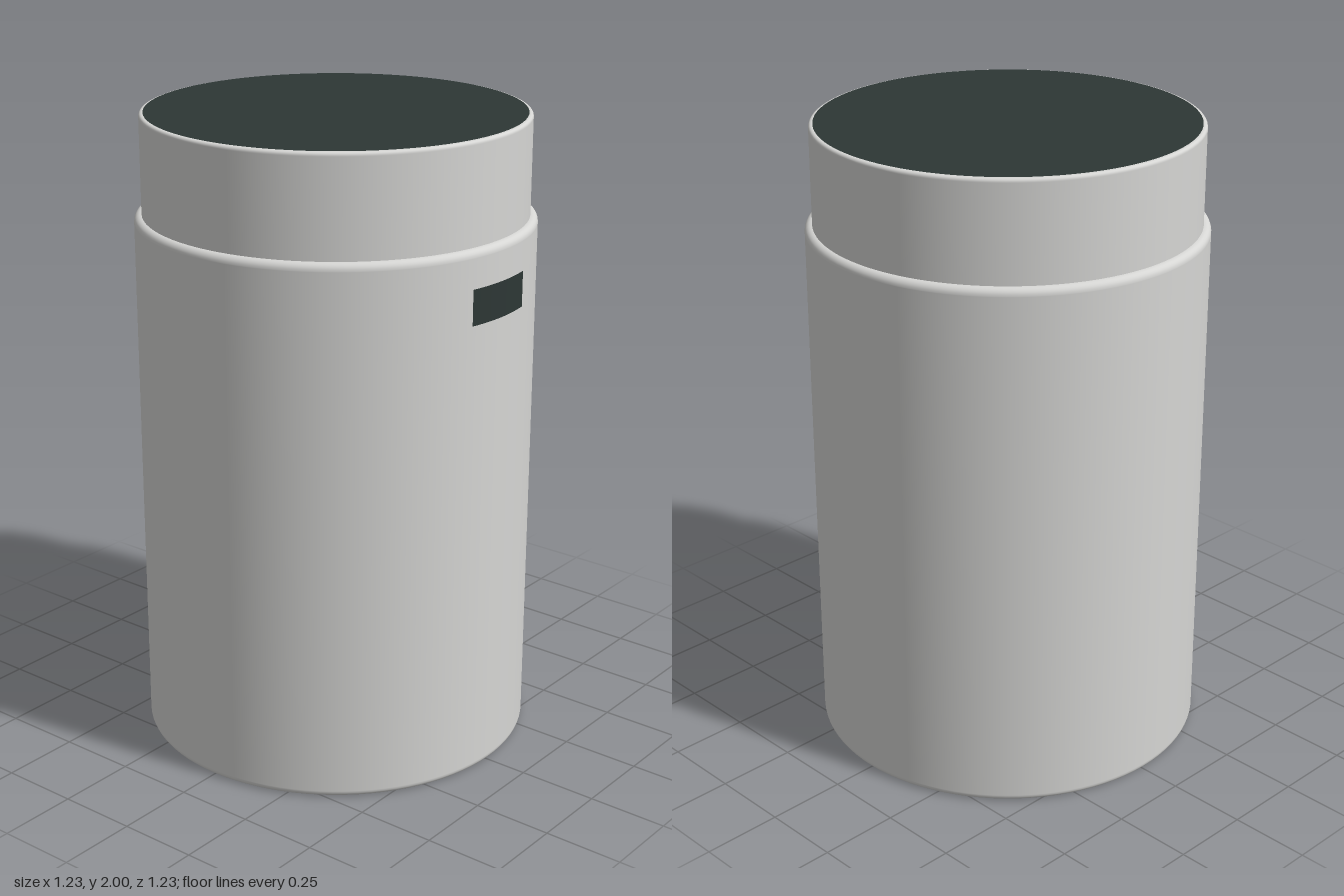
import * as THREE from 'three';

const SEGMENTS = 96;

// Solid of revolution with rounded rims; tight points keep flat faces flat-shaded
function roundedDrum(radius, y0, y1, bottomRound, topRound, material, name) {
  const e = 0.002;
  const pts = [new THREE.Vector2(0, y0), new THREE.Vector2(radius - bottomRound - e, y0)];
  const arc = (cy, r, from) => {
    for (let i = 0; i <= 6; i++) {
      const a = from + (i / 6) * Math.PI / 2;
      pts.push(new THREE.Vector2(radius - r + r * Math.cos(a), cy + r * Math.sin(a)));
    }
  };
  arc(y0 + bottomRound, bottomRound, -Math.PI / 2);
  pts.push(new THREE.Vector2(radius, y0 + bottomRound + e));
  pts.push(new THREE.Vector2(radius, y1 - topRound - e));
  arc(y1 - topRound, topRound, 0);
  pts.push(new THREE.Vector2(radius - topRound - e, y1), new THREE.Vector2(0, y1));
  const mesh = new THREE.Mesh(new THREE.LatheGeometry(pts, SEGMENTS), material);
  mesh.name = name;
  return mesh;
}

export function createModel() {
  const shell = new THREE.MeshStandardMaterial({ color: 0xd6d6d4 });
  shell.name = 'light grey shell';
  const dark = new THREE.MeshStandardMaterial({ color: 0x2d3735, side: THREE.DoubleSide });
  dark.name = 'dark green grey';

  const group = new THREE.Group();
  group.name = 'canister';

  // Main body and the narrower lid above it
  group.add(roundedDrum(0.615, 0, 1.69, 0.018, 0.022, shell, 'body'));
  group.add(roundedDrum(0.592, 1.67, 1.999, 0.004, 0.01, shell, 'lid'));

  // Dark disc on top of the lid
  const disc = new THREE.Mesh(new THREE.CircleGeometry(0.579, SEGMENTS), dark);
  disc.name = 'topPanel';
  disc.rotation.x = -Math.PI / 2;
  disc.position.y = 2;
  group.add(disc);

  // Curved window on the front of the body
  const half = Math.asin(0.127 / 0.617);
  const windowPlate = new THREE.Mesh(
    new THREE.CylinderGeometry(0.617, 0.617, 0.11, 16, 1, true, -half, half * 2), dark);
  windowPlate.name = 'frontWindow';
  windowPlate.position.y = 1.52;
  group.add(windowPlate);

  return group;
}
